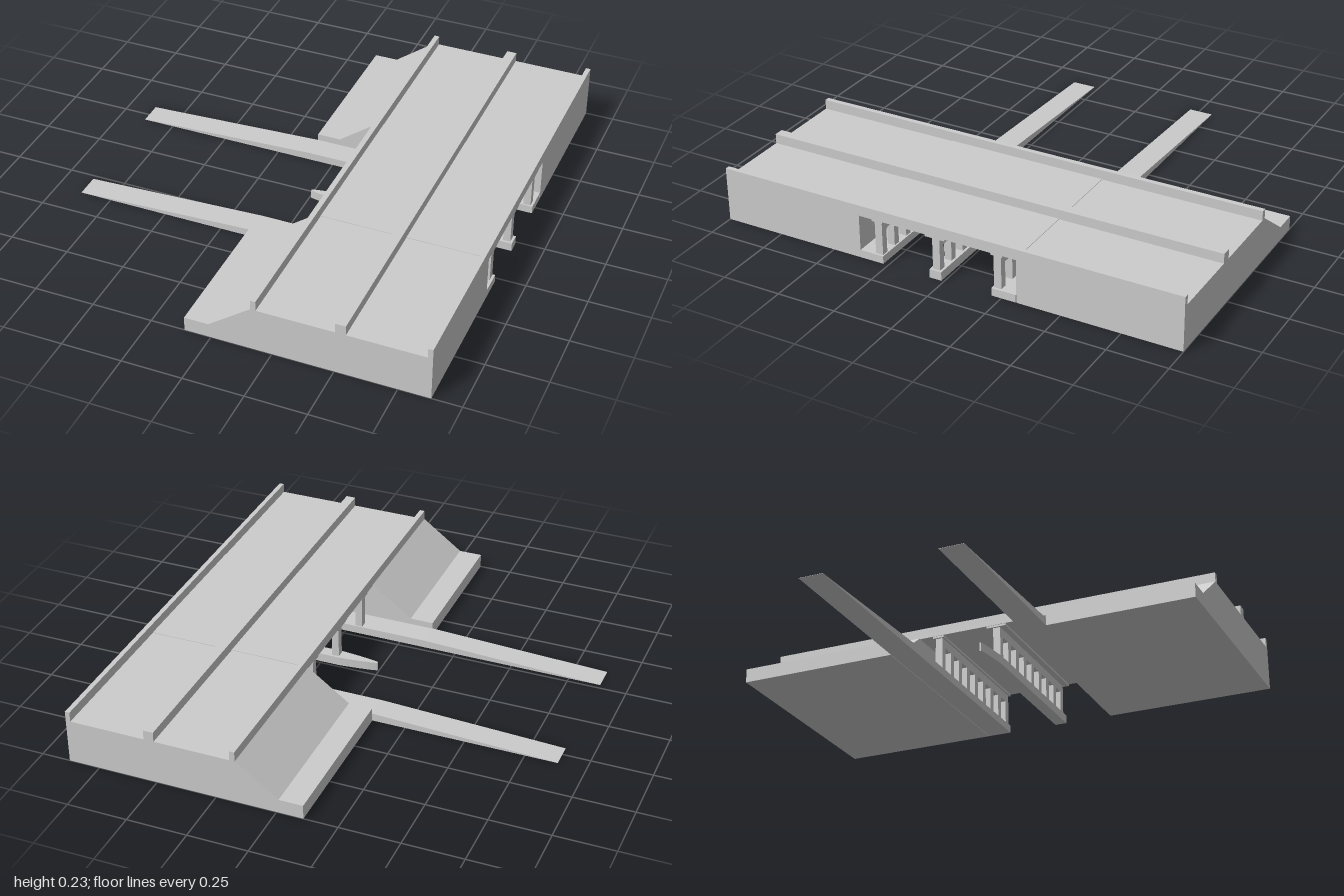
import * as THREE from 'three';

export function createModel() {
  const root = new THREE.Group();
  const mat = new THREE.MeshStandardMaterial({ color: 0xcccccc, flatShading: true });

  const add = (name, geometry, parent = root) => {
    const mesh = new THREE.Mesh(geometry, mat);
    mesh.name = name;
    parent.add(mesh);
    return mesh;
  };
  // Box given by its limits on each axis
  const box = (name, x0, x1, y0, y1, z0, z1, parent) => {
    const g = new THREE.BoxGeometry(x1 - x0, y1 - y0, z1 - z0);
    g.translate((x0 + x1) / 2, (y0 + y1) / 2, (z0 + z1) / 2);
    return add(name, g, parent);
  };
  // Side profile in x, y extruded from z0 to z1
  const slab = (name, points, z0, z1) => {
    const shape = new THREE.Shape(points.map(([x, y]) => new THREE.Vector2(x, y)));
    const g = new THREE.ExtrudeGeometry(shape, { depth: z1 - z0, bevelEnabled: false });
    g.translate(0, 0, z0);
    return add(name, g);
  };

  const X0 = 0.165, X1 = 0.88;       // deck edges
  const Z0 = -0.315, Z1 = 0.375;     // underpass opening

  // Embankments with a sloped side and a low shoulder
  const bank = [[-0.11, 0], [X1, 0], [X1, 0.189], [X0, 0.189], [-0.01, 0.06], [-0.11, 0.06]];
  slab('rearEmbankment', bank, -1, Z0);
  slab('frontEmbankment', bank, Z1, 1);

  // Bridge deck over the opening
  box('bridgeDeck', X0, X1, 0.185, 0.191, Z0, Z1);

  // Parapets and median barrier
  box('innerParapet', X0, 0.187, 0.185, 0.23, -1, 1);
  box('medianBarrier', 0.503, 0.545, 0.187, 0.23, -1, 1);
  box('outerParapet', 0.86, X1, 0.185, 0.23, -1, 1);

  // Walkways beside the lower road, with long ramps
  const walk = [[-0.885, 0], [X1, 0], [X1, 0.033], [-0.11, 0.033], [-0.885, 0.001]];
  slab('rearWalkway', walk, -0.312, -0.208);
  slab('frontWalkway', walk, 0.272, 0.376);

  // Row of columns joined by a beam and a cap
  const colonnade = (name, z, half, capHalf, foot) => {
    const row = new THREE.Group();
    row.name = name;
    root.add(row);
    const count = 9, w = 0.03;
    for (let i = 0; i < count; i++) {
      const x = X0 + 0.01 + (i / (count - 1)) * (X1 - X0 - 0.02 - w);
      box('column', x, x + w, foot, 0.14, z - half, z + half, row);
    }
    box('beam', X0 + 0.01, X1 - 0.01, 0.139, 0.178, z - half, z + half, row);
    box('cap', X0 + 0.002, X1 - 0.002, 0.176, 0.187, z - capHalf, z + capHalf, row);
  };
  colonnade('rearColonnade', -0.23, 0.016, 0.025, 0.03);
  colonnade('centreColonnade', 0.037, 0.016, 0.043, 0.03);
  colonnade('frontColonnade', 0.294, 0.016, 0.024, 0.03);

  // Central footing with a tapered nose
  const foot = new THREE.Shape();
  foot.moveTo(X1, -0.026);
  foot.lineTo(X1, 0.026);
  foot.lineTo(X0, 0.026);
  foot.quadraticCurveTo(0.04, 0.014, 0.007, 0.004);
  foot.lineTo(0.007, -0.004);
  foot.quadraticCurveTo(0.04, -0.014, X0, -0.026);
  const footing = new THREE.ExtrudeGeometry(foot, { depth: 0.037, bevelEnabled: false, curveSegments: 8 });
  footing.rotateX(-Math.PI / 2);
  footing.translate(0, 0, 0.037);
  add('centreFooting', footing);

  return root;
}
